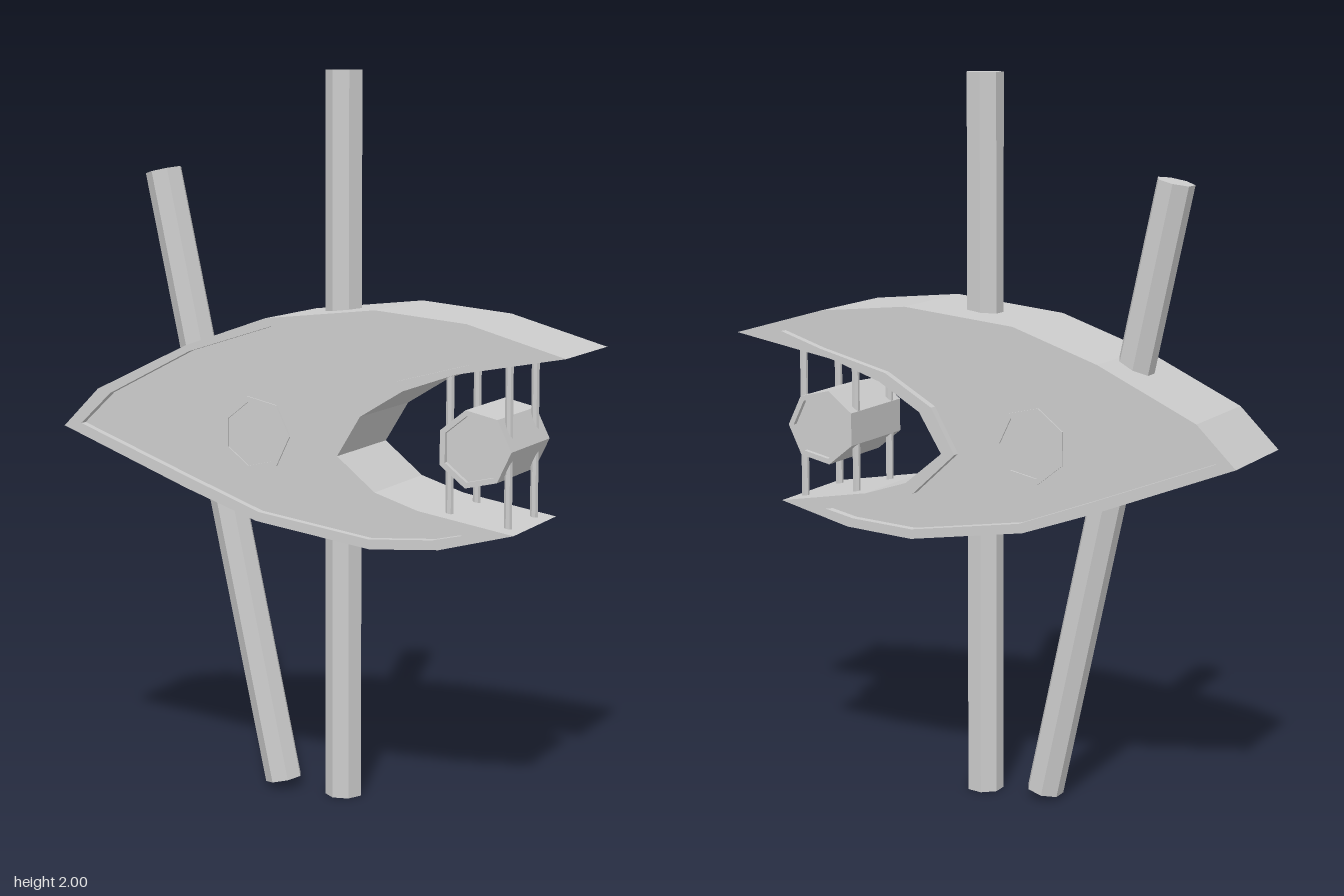
import * as THREE from 'three';

const material = new THREE.MeshStandardMaterial({ color: 0xcccccc, flatShading: true });

const toPoints = (list) => list.map(([x, y]) => new THREE.Vector2(x, y));

// Seven-sided outline with one corner pointing to +x
const heptagon = (cx, cy, r) => Array.from({ length: 7 }, (_, i) => {
  const a = (i / 7) * Math.PI * 2;
  return [cx + r * Math.cos(a), cy + r * Math.sin(a)];
});

function slab(name, outline, half, hole) {
  const shape = new THREE.Shape(toPoints(outline));
  if (hole) shape.holes.push(new THREE.Path(toPoints(hole)));
  const geometry = new THREE.ExtrudeGeometry(shape, { depth: half * 2, bevelEnabled: false });
  geometry.translate(0, 0, -half);
  const mesh = new THREE.Mesh(geometry, material);
  mesh.name = name;
  return mesh;
}

// A raised rim around a recessed core, the same on front and back
function framed(name, outline, inner, rimHalf, coreHalf) {
  const group = new THREE.Group();
  group.name = name;
  group.add(slab(name + 'Rim', outline, rimHalf, inner), slab(name + 'Panel', inner, coreHalf));
  return group;
}

// Straight bar between two points
function rod(name, from, to, radius) {
  const a = new THREE.Vector3(...from), b = new THREE.Vector3(...to);
  const direction = b.clone().sub(a);
  const geometry = new THREE.CylinderGeometry(radius, radius, direction.length(), 7, 1, false, Math.PI / 2);
  const mesh = new THREE.Mesh(geometry, material);
  mesh.quaternion.setFromUnitVectors(new THREE.Vector3(0, 1, 0), direction.normalize());
  mesh.position.copy(a).add(b).multiplyScalar(0.5);
  mesh.name = name;
  return mesh;
}

export function createModel() {
  const model = new THREE.Group();
  model.name = 'model';

  // Pointed body with an open mouth towards +x
  const outline = [
    [-0.75, 1.01], [-0.36, 0.86], [-0.145, 0.785], [0.195, 0.735], [0.395, 0.75], [0.606, 0.805],
    [0.335, 0.85], [0.21, 0.89], [0.1, 0.98], [0.167, 1.09], [0.29, 1.165], [0.44, 1.217],
    [0.743, 1.273], [0.47, 1.35], [0.21, 1.375], [-0.115, 1.34], [-0.36, 1.255], [-0.64, 1.12],
  ];
  const inset = [
    [-0.695, 1.02], [-0.352, 0.89], [-0.135, 0.81], [0.193, 0.762], [0.378, 0.775], [0.463, 0.794],
    [0.315, 0.82], [0.188, 0.862], [0.06, 0.98], [0.13, 1.105], [0.272, 1.19], [0.474, 1.243],
    [0.6, 1.285], [0.45, 1.318], [0.21, 1.345], [-0.1, 1.318], [-0.347, 1.24], [-0.6, 1.11],
  ];
  model.add(framed('body', outline, inset, 0.158, 0.135));

  // Drum set into the body, and a matching one held in the mouth
  for (const [name, x] of [['bodyDrum', -0.157], ['mouthDrum', 0.485]]) {
    model.add(framed(name, heptagon(x, 1.02, 0.106), heptagon(x, 1.02, 0.09), 0.14, 0.125));
  }

  // Pins holding the drum in the mouth
  for (const [x, low, high] of [[0.4, 0.8, 1.23], [0.566, 0.8, 1.255]]) {
    for (const z of [-0.095, 0.095]) model.add(rod('pin', [x, low, z], [x, high, z], 0.011));
  }

  // Upright and leaning poles through the body
  model.add(rod('uprightPole', [0.047, 0, 0], [0.047, 2, 0], 0.052));
  model.add(rod('leaningPole', [-0.14, 0.021, 0], [-0.51, 1.725, 0], 0.052));

  return model;
}
